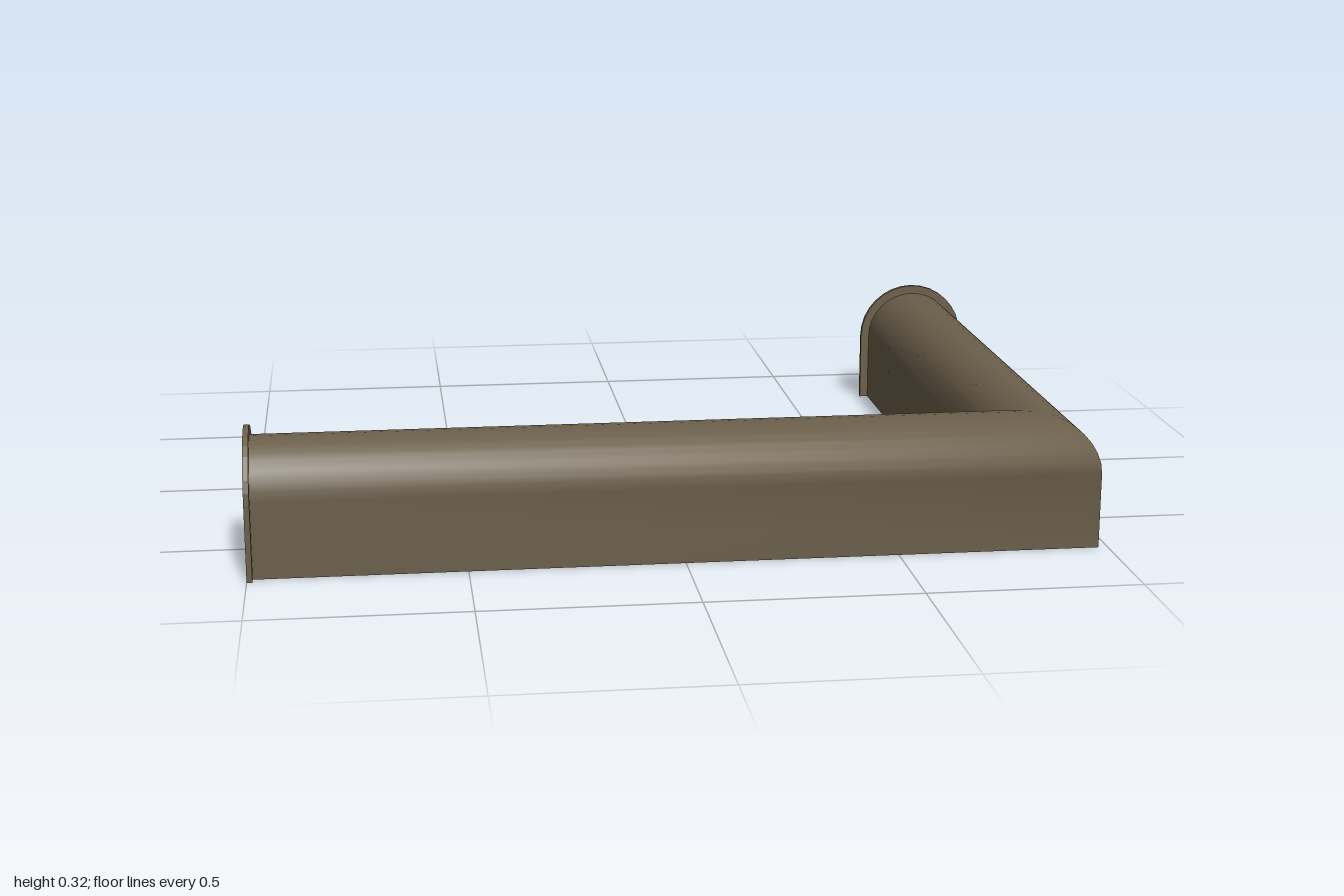
import * as THREE from 'three';

const CX = 0.855, CZ = 0.603;      // centre lines of the two arms
const R = 0.123, RIM = 0.145;      // tunnel and collar half widths
const SPRING = 0.18;               // height where the arch begins
const END_X = -1, END_Z = -0.748;  // open ends
const THICK = 0.013, SEG = 16;

// Arch outline from one foot over the crown to the other: [offset, height]
function arch(r) {
  const pts = [[r, 0]];
  for (let i = 0; i <= SEG; i++) {
    const a = (i / SEG) * Math.PI;
    pts.push([r * Math.cos(a), SPRING + (r + 0.0) * Math.sin(a)]);
  }
  pts.push([-r, 0]);
  return pts;
}

// Vault swept through a mitred corner; positive offset is the outer side
function vaultGeometry() {
  const profile = arch(R), n = profile.length, pos = [], idx = [];
  const stations = [
    (o) => [END_X + 0.002, CZ + o],
    (o) => [CX + o, CZ + o],
    (o) => [CX + o, END_Z + 0.002],
  ];
  for (const place of stations) {
    for (const [o, y] of profile) {
      const [x, z] = place(o);
      pos.push(x, y, z);
    }
  }
  for (let s = 0; s < 2; s++) {
    for (let i = 0; i < n - 1; i++) {
      const a = s * n + i, b = a + n;
      idx.push(a, b, a + 1, b, b + 1, a + 1);
    }
  }
  const g = new THREE.BufferGeometry();
  g.setAttribute('position', new THREE.Float32BufferAttribute(pos, 3));
  g.setIndex(idx);
  g.computeVertexNormals();
  return g;
}

// Arched collar around an open end
function collarGeometry() {
  const outline = [...arch(RIM), ...arch(R - 0.002).reverse()];
  const shape = new THREE.Shape(outline.map(([x, y]) => new THREE.Vector2(x, y)));
  return new THREE.ExtrudeGeometry(shape, { depth: THICK, bevelEnabled: false });
}

export function createModel() {
  const group = new THREE.Group();
  group.name = 'cornerTunnel';
  const brown = new THREE.MeshStandardMaterial({ color: 0x6b5f4b, side: THREE.DoubleSide });
  brown.name = 'earthBrown';

  const add = (name, geometry) => {
    const mesh = new THREE.Mesh(geometry, brown);
    mesh.name = name;
    group.add(mesh);
    return mesh;
  };

  add('vault', vaultGeometry());

  // L-shaped floor, drawn in x and -z
  const corners = [
    [END_X, CZ + R], [CX + R, CZ + R], [CX + R, END_Z],
    [CX - R, END_Z], [CX - R, CZ - R], [END_X, CZ - R],
  ];
  const floor = new THREE.Shape(corners.map(([x, z]) => new THREE.Vector2(x, -z)));
  add('floor', new THREE.ShapeGeometry(floor).rotateX(-Math.PI / 2)).position.y = 0.001;

  // Collars at both open ends
  add('backCollar', collarGeometry()).position.set(CX, 0, END_Z);
  const side = add('rightCollar', collarGeometry());
  side.rotation.y = Math.PI / 2;
  side.position.set(END_X, 0, CZ);

  return group;
}
